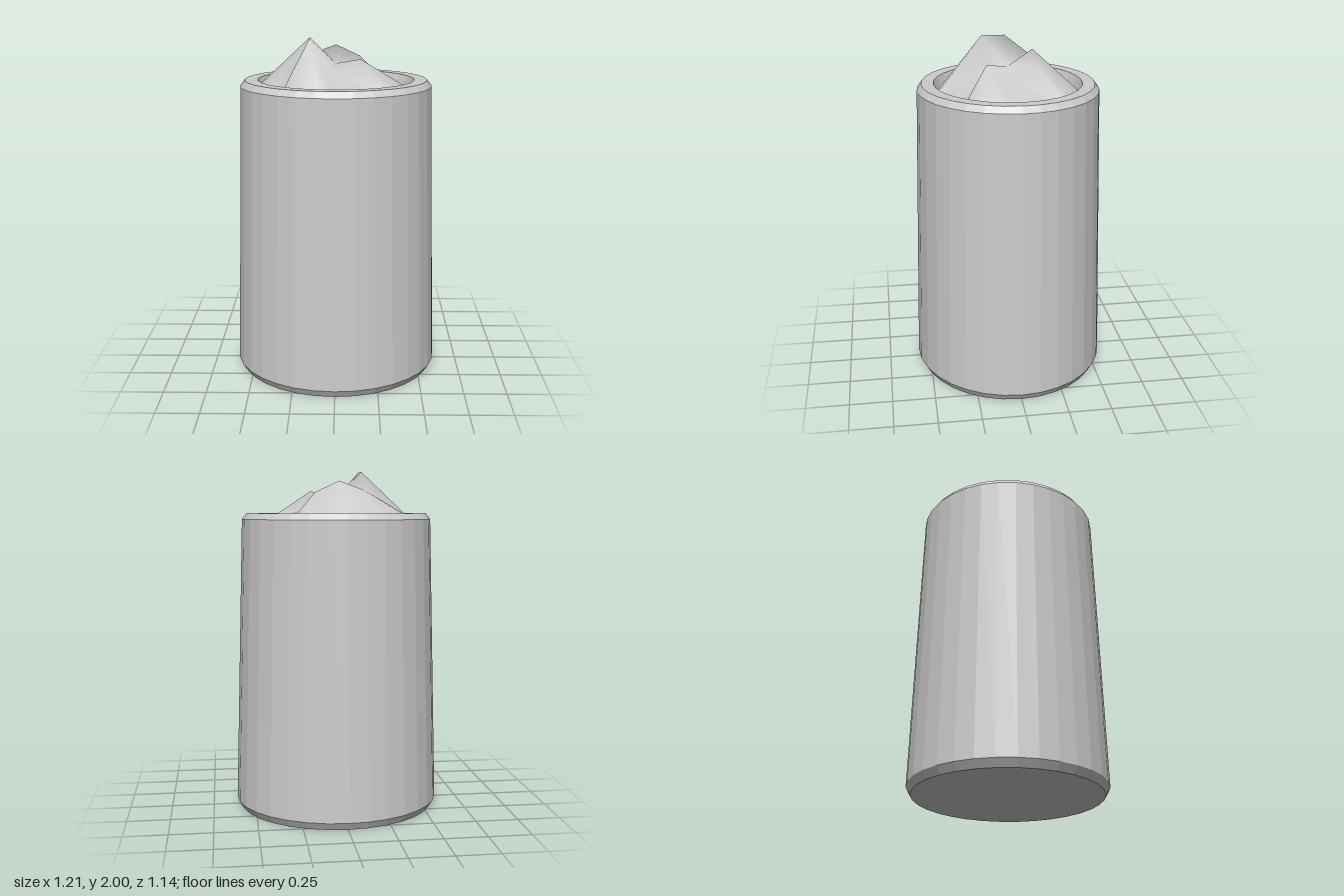
import * as THREE from 'three';

const SIDES = 32;
const DEPTH = 0.94; // the plan is slightly oval

// Tapered cup with bevelled base, bevelled rim and a short inner lip
function makeCup() {
  const profile = [
    [0, 0], [0.58, 0], [0.607, 0.045], [0.557, 1.725], [0.53, 1.76], [0.455, 1.76], [0.43, 1.7],
  ].map(([r, y]) => new THREE.Vector2(r, y));
  const geometry = new THREE.LatheGeometry(profile, SIDES);
  geometry.scale(1, 1, DEPTH);
  geometry.computeVertexNormals();
  const cup = new THREE.Mesh(geometry, new THREE.MeshStandardMaterial({ color: 0xcccccc, flatShading: true }));
  cup.name = 'cup';
  return cup;
}

// Uneven heap: a centre point, eight crest points, then the round rim
function makeHeap() {
  const positions = [0, 1.85, 0];
  const crest = [
    [0.14, 1.8, 0], [0.14, 1.89, 0.14], [0, 1.81, 0.14], [-0.15, 2, 0.135],
    [-0.15, 2, 0], [-0.15, 1.89, -0.14], [0, 1.945, -0.14], [0.14, 1.88, -0.14],
  ];
  crest.forEach((p) => positions.push(...p));
  for (let i = 0; i < SIDES; i++) {
    const a = (i / SIDES) * Math.PI * 2;
    const lift = 0.03 * Math.max(0, -Math.cos(a - 0.2)) ** 4;
    const r = 0.431 + lift * 0.4;
    positions.push(r * Math.cos(a), 1.702 + lift, r * DEPTH * Math.sin(a));
  }
  const inner = (k) => 1 + (k % 8);
  const rim = (i) => 9 + (i % SIDES);
  const index = [];
  for (let k = 0; k < 8; k++) {
    index.push(0, inner(k + 1), inner(k));
    index.push(inner(k), inner(k + 1), rim(4 * k));
    for (let i = 4 * k; i < 4 * k + 4; i++) index.push(inner(k + 1), rim(i + 1), rim(i));
  }
  const geometry = new THREE.BufferGeometry();
  geometry.setAttribute('position', new THREE.Float32BufferAttribute(positions, 3));
  geometry.setIndex(index);
  geometry.computeVertexNormals();
  const heap = new THREE.Mesh(geometry, new THREE.MeshStandardMaterial({ color: 0xcccccc, side: THREE.DoubleSide }));
  heap.name = 'heapedFilling';
  return heap;
}

export function createModel() {
  const group = new THREE.Group();
  group.name = 'filledCup';
  group.add(makeCup(), makeHeap());
  return group;
}
